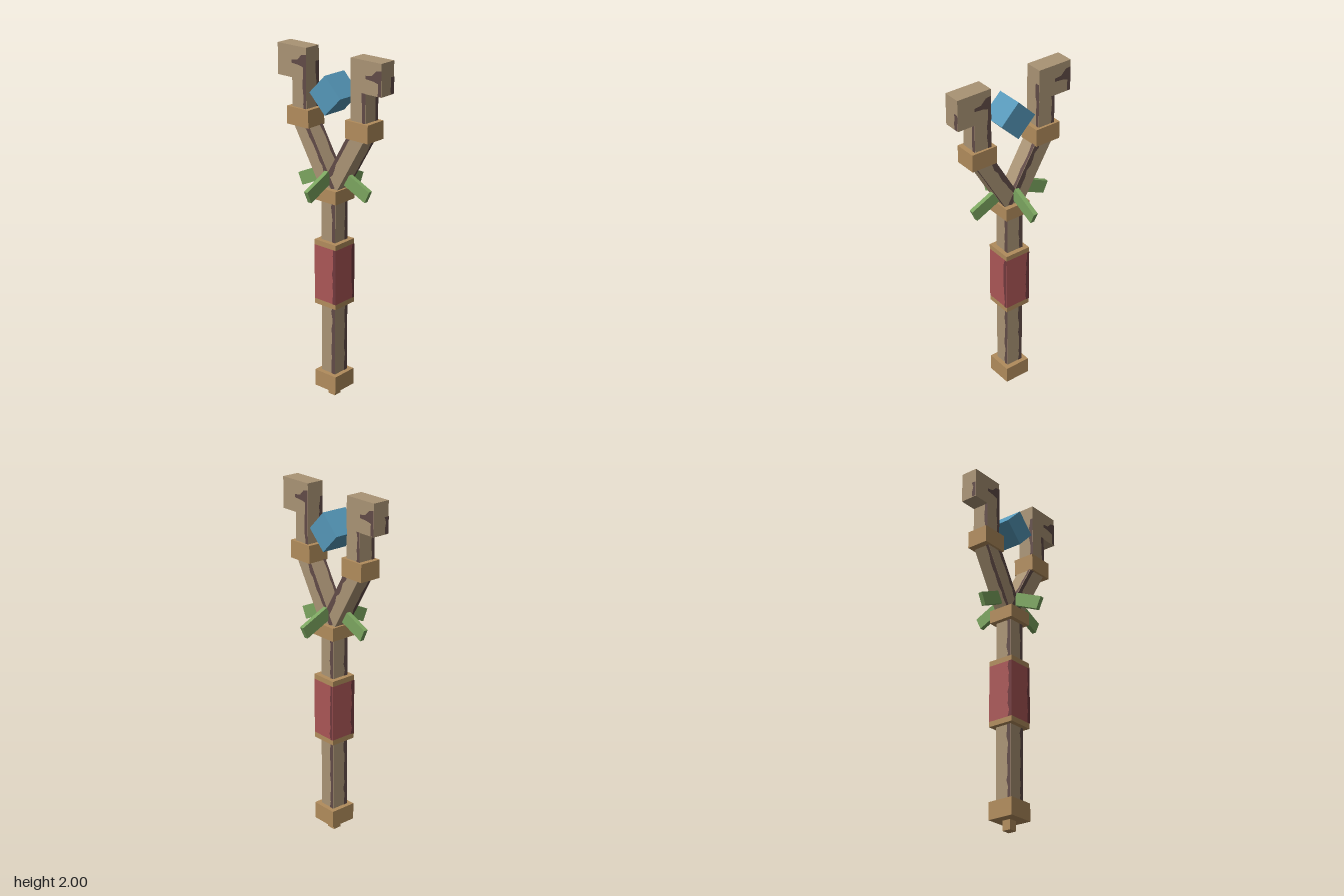
import * as THREE from 'three';

const mat = (name, color) => {
  const m = new THREE.MeshStandardMaterial({ color });
  m.name = name;
  return m;
};

export function createModel() {
  const wood = mat('wood', 0xa99374);
  const bark = mat('dark bark', 0x614b47);
  const trim = mat('trim wood', 0xb18c5c);
  const wrap = mat('red wrap', 0xaa5656);
  const wrapDark = mat('dark red wrap', 0x70393d);
  const leafGreen = mat('leaf green', 0x7ba55f);
  const crystalBlue = mat('crystal blue', 0x5496b7);

  const model = new THREE.Group();
  model.name = 'staff';

  let seed = 7;
  const rand = () => (seed = (seed * 16807) % 2147483647) / 2147483647;

  const box = (name, material, w, h, d, x, y, z = 0, parent = model) => {
    const m = new THREE.Mesh(new THREE.BoxGeometry(w, h, d), material);
    m.name = name;
    m.position.set(x, y, z);
    parent.add(m);
    return m;
  };

  // jagged flat streak down one edge of a face; side = 1 right edge, -1 left edge
  const streak = (host, material, turn, halfW, h, depth, width, side = 1) => {
    const s = new THREE.Shape();
    const edge = side * halfW;
    s.moveTo(edge, -h / 2);
    s.lineTo(edge, h / 2);
    const steps = Math.max(3, Math.round(h / 0.035));
    for (let i = steps; i >= 0; i--) {
      const inner = edge - side * width * (0.7 + 0.5 * rand());
      s.lineTo(inner, -h / 2 + (h * i) / steps);
    }
    const m = new THREE.Mesh(new THREE.ShapeGeometry(s), material);
    m.name = 'grainStreak';
    m.rotation.y = (turn * Math.PI) / 2;
    m.position.set(Math.sin(m.rotation.y) * depth, 0, Math.cos(m.rotation.y) * depth);
    host.add(m);
  };
  const streakAround = (host, material, half, h, width) => {
    for (let t = 0; t < 4; t++) streak(host, material, t, half, h, half + 0.002, width);
  };

  // shaft, foot and collars
  box('foot', trim, 0.05, 0.06, 0.05, 0, 0.03);
  box('baseCap', trim, 0.154, 0.098, 0.154, 0, 0.104);
  const lower = box('lowerShaft', wood, 0.1, 0.417, 0.1, 0, 0.3615);
  streakAround(lower, bark, 0.05, 0.417, 0.024);
  const upper = box('upperShaft', wood, 0.1, 0.235, 0.1, 0, 1.0675);
  streakAround(upper, bark, 0.05, 0.235, 0.024);
  box('gripLowerBand', trim, 0.154, 0.03, 0.154, 0, 0.585);
  box('gripUpperBand', trim, 0.154, 0.03, 0.154, 0, 0.937);
  const grip = box('grip', wrap, 0.154, 0.322, 0.154, 0, 0.761);
  streakAround(grip, wrapDark, 0.077, 0.322, 0.022);
  box('forkCollar', trim, 0.154, 0.075, 0.154, 0, 1.2225);

  // forked arms with hooked tips
  for (const s of [-1, 1]) {
    const arm = box('forkArm', wood, 0.1, 0.42, 0.1, s * 0.1, 1.42);
    arm.rotation.z = -s * 0.53;
    for (const t of [0, 2]) streak(arm, bark, t, 0.05, 0.41, 0.052, 0.028, t === 0 ? -s : s);
    for (const t of [1, 3]) streak(arm, bark, t, 0.05, 0.41, 0.052, 0.02);

    box('armCollar', trim, 0.154, 0.1, 0.128, s * 0.206, 1.617);

    const post = box('tipPost', wood, 0.1, 0.175, 0.1, s * 0.205, 1.7425);
    streakAround(post, bark, 0.05, 0.17, 0.022);

    const hook = box('tipHook', wood, 0.204, 0.175, 0.1, s * 0.256, 1.9125);
    for (const t of [0, 2]) {
      const p = new THREE.Shape([
        [0.102, 0.05], [0.07, 0.045], [0.04, 0.015], [0, 0.01], [0, -0.008],
        [0.05, -0.012], [0.082, -0.02], [0.08, -0.085], [0.102, -0.085],
      ].map(([x, y]) => new THREE.Vector2(x, y)));
      const patch = new THREE.Mesh(new THREE.ShapeGeometry(p), bark);
      patch.name = 'hookGrain';
      patch.rotation.y = (t * Math.PI) / 2;
      patch.position.z = t === 0 ? 0.052 : -0.052;
      hook.add(patch);
    }
    for (const t of [1, 3]) {
      const holder = new THREE.Group();
      holder.name = 'hookSideGrain';
      holder.position.y = -0.04;
      hook.add(holder);
      streak(holder, bark, t, 0.05, 0.09, 0.104, 0.024);
    }
  }

  // four drooping leaves around the fork
  for (let i = 0; i < 4; i++) {
    const pivot = new THREE.Group();
    pivot.name = 'leafPivot';
    pivot.rotation.y = (i * Math.PI) / 2;
    model.add(pivot);
    const leaf = box('leaf', leafGreen, 0.182, 0.073, 0.025, i % 2 ? 0.131 : 0.155, 1.287, 0, pivot);
    leaf.rotation.z = -0.43;
  }

  // floating crystal between the tips
  const crystal = box('crystal', crystalBlue, 0.152, 0.152, 0.154, 0, 1.775);
  crystal.rotation.z = Math.PI / 4;

  return model;
}
